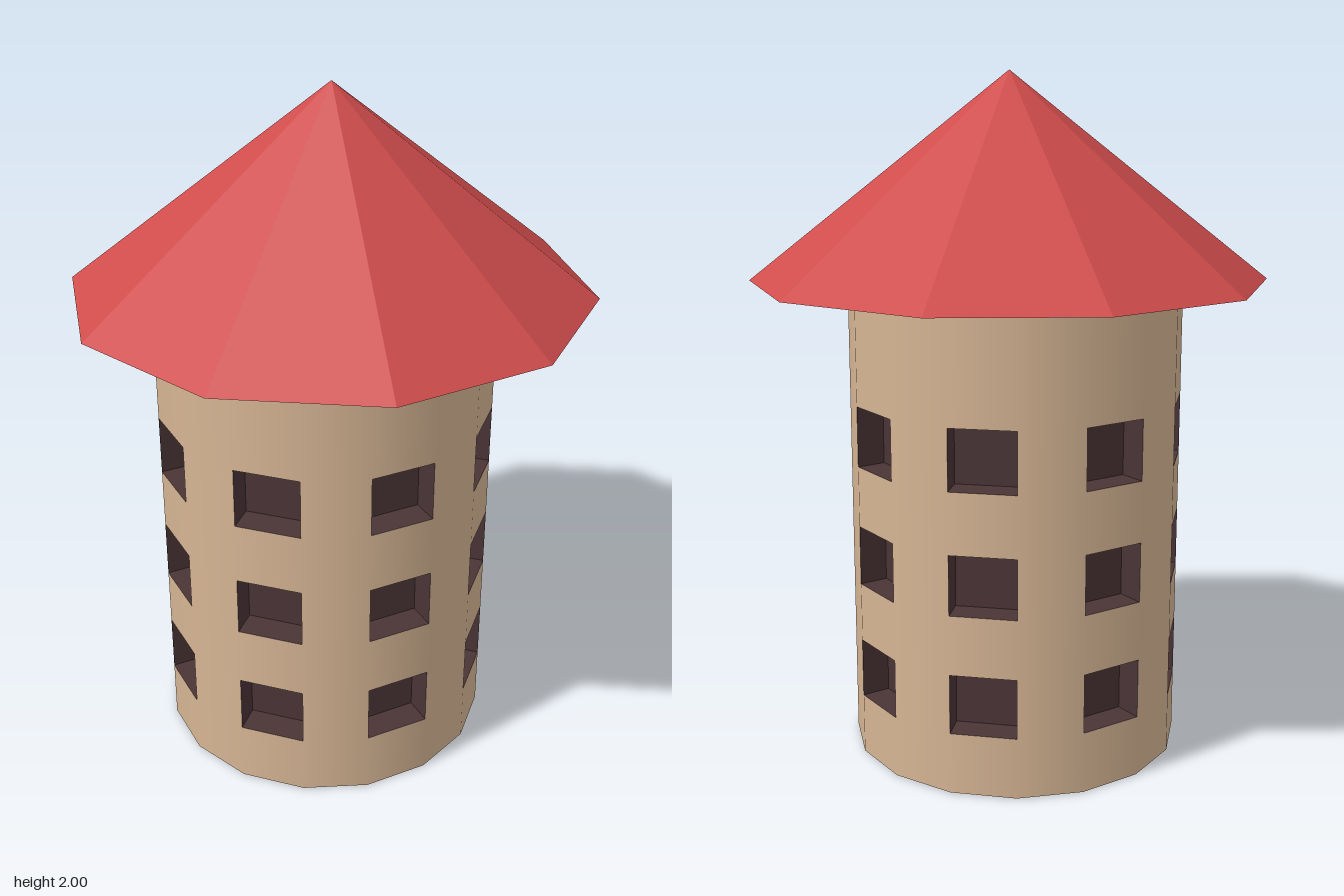
import * as THREE from 'three';
import { mergeGeometries } from 'three/addons/utils/BufferGeometryUtils.js';

const mat = (name, color) => {
  const m = new THREE.MeshStandardMaterial({ color });
  m.name = name;
  return m;
};

export function createModel() {
  const stone = mat('sandstone', 0xd6b594);
  const red = mat('roofRed', 0xd04c4c);
  const dark = mat('darkBrown', 0x4a3436);

  const model = new THREE.Group();
  model.name = 'roundTower';
  const add = (parent, name, geometry, material) => {
    const mesh = new THREE.Mesh(geometry, material);
    mesh.name = name;
    parent.add(mesh);
    return mesh;
  };

  const R = 0.492, TOP = 1.405, SIDES = 16;
  const STEP = (Math.PI * 2) / SIDES, TURN = -0.06;
  const WIDTH = 2 * R * Math.sin(STEP / 2), FACE = R * Math.cos(STEP / 2);
  const DEPTH = 0.085;
  const rows = [[0.18, 0.355], [0.53, 0.705], [0.885, 1.062]];

  const tower = new THREE.Group();
  tower.name = 'tower';
  tower.position.set(-0.027, 0, 0.005);
  model.add(tower);

  // Wall: solid facets alternate with facets that have three openings
  const panel = (i, y0, y1) =>
    new THREE.CylinderGeometry(R, R, y1 - y0, 1, 1, true, TURN + (i - 0.5) * STEP, STEP)
      .translate(0, (y0 + y1) / 2, 0);
  const panels = [];
  for (let i = 0; i < SIDES; i++) {
    let y = 0;
    if (i % 2 === 0) {
      for (const [y0, y1] of rows) {
        panels.push(panel(i, y, y0));
        y = y1;
      }
    }
    panels.push(panel(i, y, TOP));
  }
  add(tower, 'wall', mergeGeometries(panels), stone);

  // Window recess: inward-facing box without its outer face
  const recess = (h) => {
    const g = new THREE.BoxGeometry(WIDTH, h, DEPTH);
    const index = Array.from(g.index.array);
    index.splice(24, 6);
    g.setIndex(index.reverse());
    g.clearGroups();
    g.computeVertexNormals();
    return g;
  };
  for (let i = 0; i < SIDES; i += 2) {
    const bay = new THREE.Group();
    bay.name = 'windowBay';
    bay.rotation.y = TURN + i * STEP;
    tower.add(bay);
    rows.forEach(([y0, y1], row) => {
      const h = y1 - y0, y = (y0 + y1) / 2;
      add(bay, 'window', recess(h), dark).position.set(0, y, FACE - DEPTH / 2);
      // Red strip inside one upper window
      if (i === 2 && row === 2) {
        add(bay, 'redStrip', new THREE.BoxGeometry(0.042, h, 0.004), red)
          .position.set(0.073, y, FACE - DEPTH + 0.003);
      }
    });
  }

  // Underside with its red patch
  const base = new THREE.CircleGeometry(R, SIDES, Math.PI / 2 - TURN - STEP / 2);
  add(tower, 'base', base.rotateX(Math.PI / 2), dark);
  const patch = new THREE.Shape([[0, 0.02], [0.22, 0.29], [0.04, 0.47], [-0.23, 0.37]]
    .map(([x, z]) => new THREE.Vector2(x, z)));
  add(tower, 'basePatch', new THREE.ShapeGeometry(patch).rotateX(Math.PI / 2), red)
    .position.y = -0.002;

  // Faceted ten-sided roof, closed below
  const roof = new THREE.ConeGeometry(0.755, 2 - TOP, 10, 1, false, Math.PI / 10).toNonIndexed();
  roof.clearGroups();
  roof.computeVertexNormals();
  add(model, 'roof', roof, red).position.y = (2 + TOP) / 2;

  return model;
}
